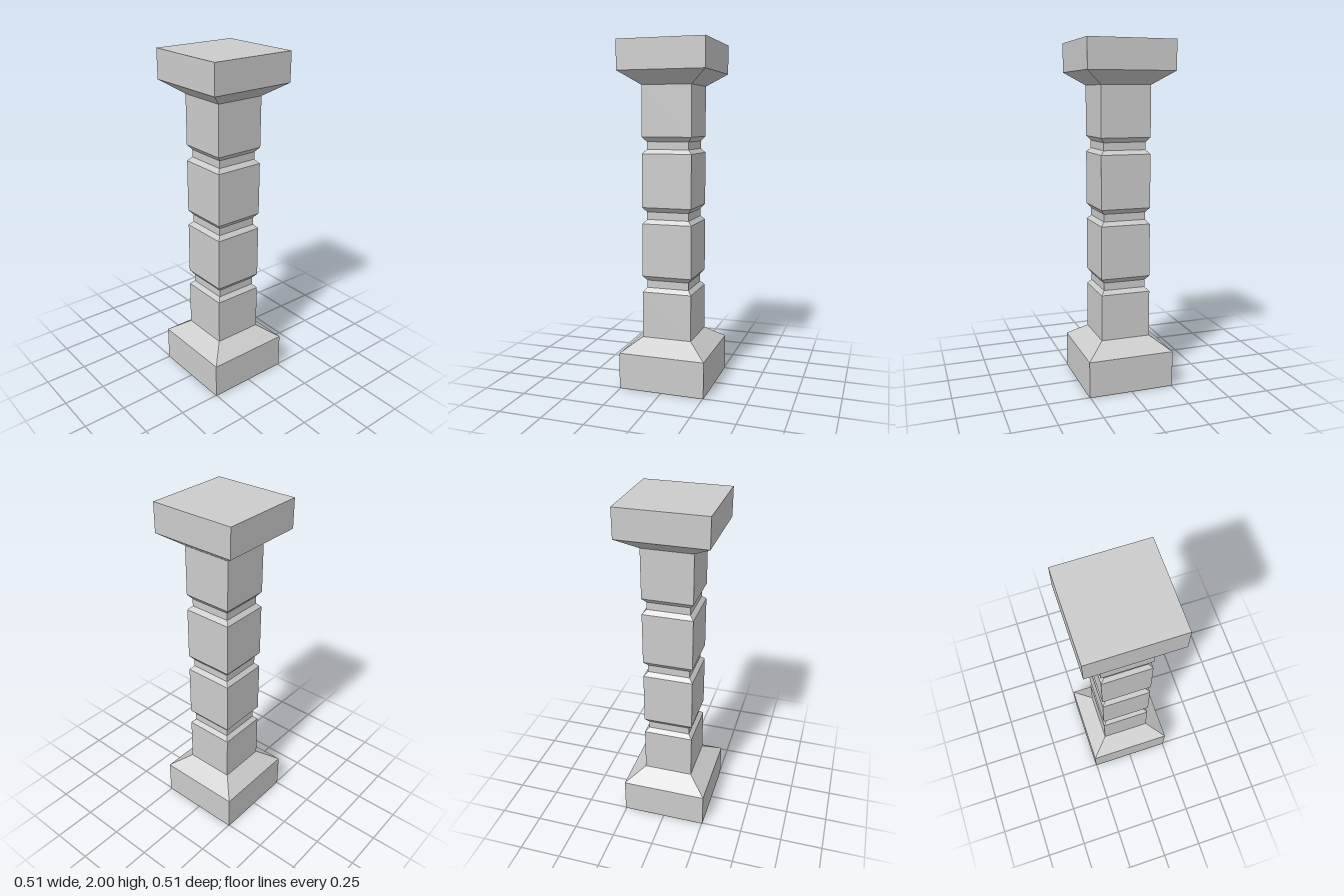
import * as THREE from 'three';

const BASE = 0.2545, SHAFT = 0.147, NECK = 0.125;

export function createModel() {
  const group = new THREE.Group();
  group.name = 'squarePillar';
  const material = new THREE.MeshStandardMaterial({
    color: 0xcccccc, flatShading: true, side: THREE.DoubleSide,
  });

  // Square section swept up a profile of [half width, height] pairs
  const addSquare = (name, profile) => {
    const points = profile.map(([w, y]) => new THREE.Vector2(w * Math.SQRT2, y));
    const geometry = new THREE.LatheGeometry(points, 4, Math.PI / 4).toNonIndexed();
    geometry.computeVertexNormals();
    const mesh = new THREE.Mesh(geometry, material);
    mesh.name = name;
    group.add(mesh);
  };

  // Plinth, hollow and open underneath
  addSquare('base', [[BASE, 0], [BASE, 0.213], [SHAFT, 0.291]]);

  // Shaft with three evenly spaced chamfered grooves
  const shaft = [[SHAFT, 0.291]];
  for (let i = 0; i < 3; i++) {
    const y = 0.563 + i * 0.404;
    shaft.push([SHAFT, y], [NECK, y + 0.024], [NECK, y + 0.068], [SHAFT, y + 0.095]);
  }
  shaft.push([SHAFT, 1.757]);
  addSquare('shaft', shaft);

  // Capital, flared and closed on top
  addSquare('capital', [[SHAFT, 1.757], [BASE, 1.832], [BASE, 2], [0, 2]]);

  return group;
}
